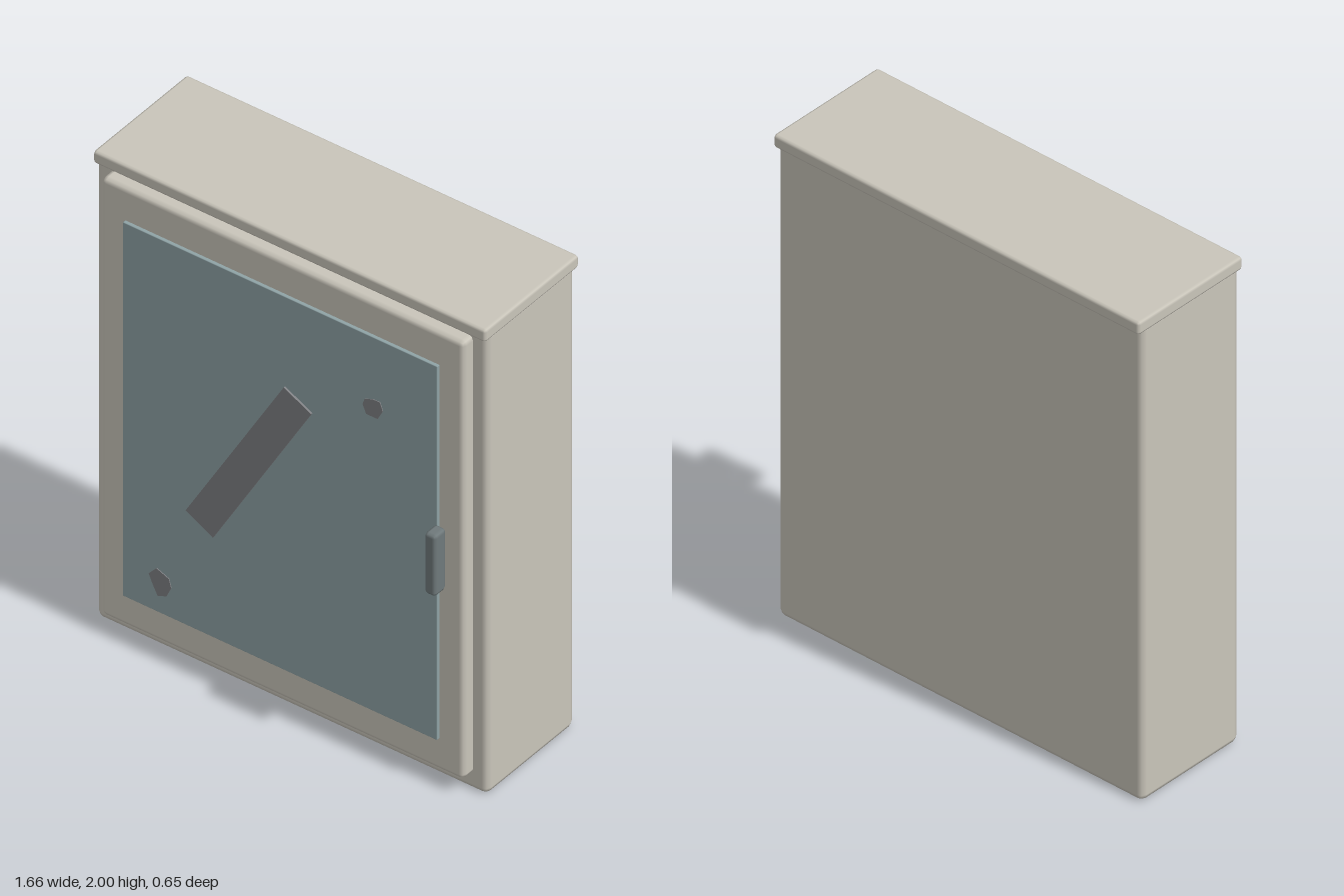
import * as THREE from 'three';
import { RoundedBoxGeometry } from 'three/addons/geometries/RoundedBoxGeometry.js';

const mat = (name, color) => {
  const m = new THREE.MeshStandardMaterial({ color });
  m.name = name;
  return m;
};

export function createModel() {
  const group = new THREE.Group();
  group.name = 'cabinet';
  const shell = mat('warm grey', 0xc9c5ba);
  const glass = mat('blue grey glass', 0x8fa3a6);
  const mark = mat('mark grey', 0x7f8083);
  const metal = mat('dark handle grey', 0x6f797b);

  const add = (name, geometry, material) => {
    const mesh = new THREE.Mesh(geometry, material);
    mesh.name = name;
    group.add(mesh);
    return mesh;
  };

  // Bevelled box given by its min and max corners
  const block = (name, lo, hi, bevel, material) => {
    const size = hi.map((v, i) => v - lo[i]);
    const mesh = add(name, new RoundedBoxGeometry(...size, 1, bevel), material);
    mesh.position.set(...hi.map((v, i) => (v + lo[i]) / 2));
  };

  // Thin flat plate cut from an outline
  const plate = (name, points, z, depth, material) => {
    const shape = new THREE.Shape(points.map(([x, y]) => new THREE.Vector2(x, y)));
    const mesh = add(name, new THREE.ExtrudeGeometry(shape, { depth, bevelEnabled: false }), material);
    mesh.position.z = z;
  };

  // Housing, lid and raised door
  block('body', [-0.827, 0, -0.302], [0.827, 1.97, 0.19], 0.024, shell);
  block('lid', [-0.83, 1.947, -0.323], [0.83, 2, 0.206], 0.012, shell);
  block('door', [-0.767, 0.07, 0.17], [0.767, 1.94, 0.244], 0.02, shell);

  // Window pane
  block('window', [-0.665, 0.205, 0.238], [0.665, 1.803, 0.257], 0.003, glass);

  // Diagonal strip and two small chips on the pane
  plate('diagonalStrip', [[0.022, 1.42], [-0.393, 0.702], [-0.278, 0.638], [0.138, 1.36]], 0.256, 0.009, mark);
  plate('upperChip', [[0.36, 1.525], [0.395, 1.54], [0.425, 1.54], [0.437, 1.507],
    [0.415, 1.465], [0.367, 1.465], [0.352, 1.5]], 0.256, 0.004, mark);
  plate('lowerChip', [[-0.52, 0.392], [-0.468, 0.37], [-0.458, 0.335], [-0.478, 0.291],
    [-0.515, 0.276], [-0.537, 0.318], [-0.553, 0.355]], 0.256, 0.004, mark);

  // Handle beside the pane
  block('handle', [0.658, 0.873, 0.257], [0.706, 1.133, 0.323], 0.014, metal);

  return group;
}
